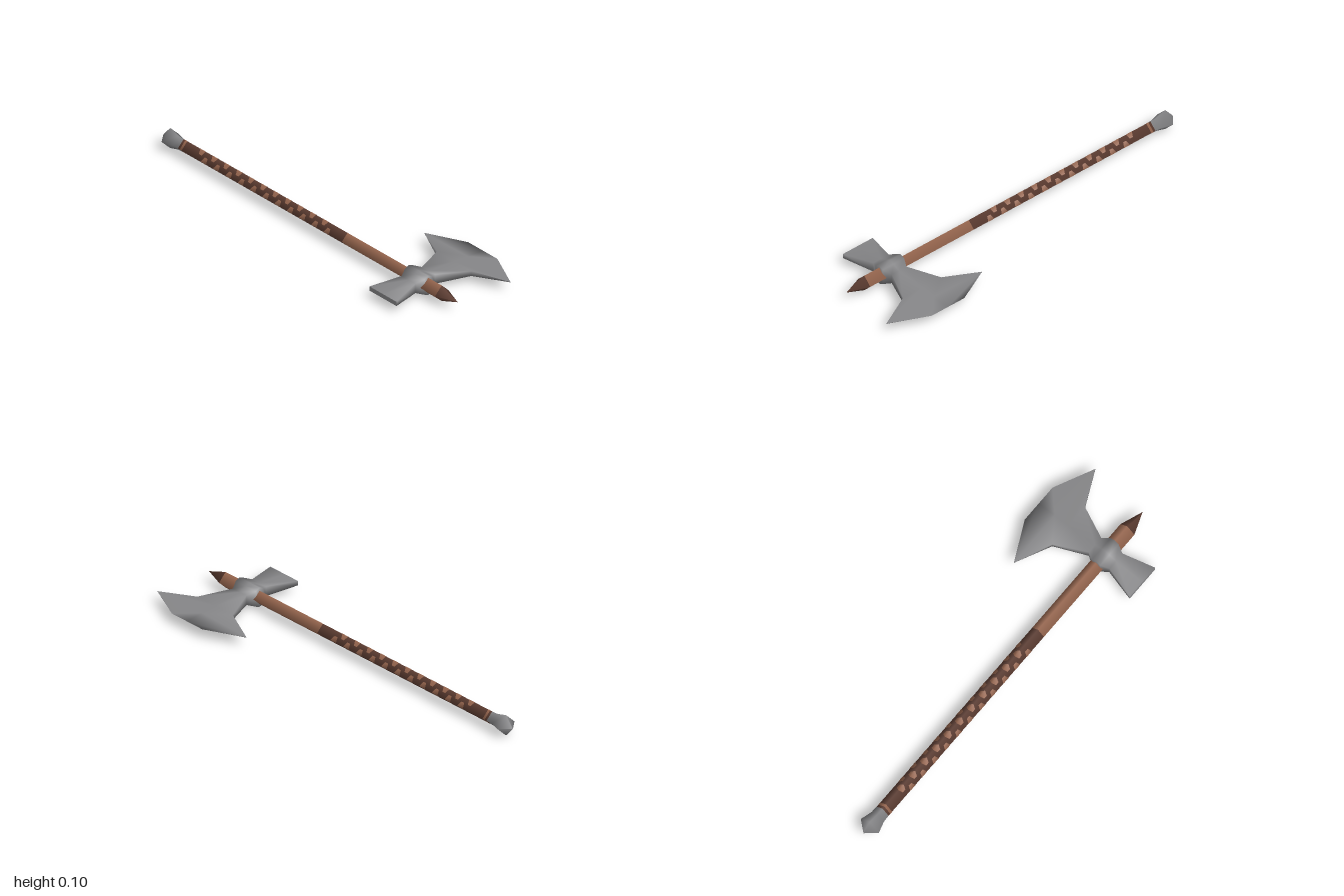
import * as THREE from 'three';
import { mergeVertices } from 'three/addons/utils/BufferGeometryUtils.js';

const AX = -0.087, AY = 0.053, HEAD_Z = 0.705;

const mat = (name, color, side = THREE.FrontSide) => {
  const m = new THREE.MeshStandardMaterial({ color, side });
  m.name = name;
  return m;
};

export function createModel() {
  const steel = mat('steel', 0x868688);
  const wood = mat('wood', 0x98674f);
  const leather = mat('dark leather', 0x5c3c31);
  const patchWood = mat('wood between wraps', 0x94644d, THREE.DoubleSide);

  const group = new THREE.Group();
  group.name = 'axe';
  const add = (name, geometry, material) => {
    const mesh = new THREE.Mesh(geometry, material);
    mesh.name = name;
    group.add(mesh);
    return mesh;
  };

  // Four-sided, smooth-shaded lathe along z; the profile is [radius, z], z increasing
  const shaftPart = (name, profile, material) => {
    const g = new THREE.LatheGeometry(profile.map(([r, z]) => new THREE.Vector2(r, z)), 4);
    g.rotateX(Math.PI / 2);
    add(name, g, material).position.set(AX, AY, 0);
  };

  // Shaft, grip and ends
  const R = 0.034;
  shaftPart('pommel', [[0, -1], [0.052, -0.955], [0.036, -0.9], [R, -0.865]], steel);
  shaftPart('gripWrap', [[R, -0.866], [R, 0.23]], leather);
  shaftPart('gripBand', [[R + 0.001, -0.853], [R + 0.001, -0.84]], wood);
  shaftPart('shaft', [[R, 0.23], [R, 0.66], [0.04, 0.76], [0.04, 0.86]], wood);
  shaftPart('shaftTip', [[0.04, 0.86], [0, 0.967]], leather);

  // Gaps in the wrapping, folded over the top and side ridges of the grip
  const pos = [], idx = [];
  const rr = R + 0.001;
  const addPatch = (angle, z) => {
    const base = pos.length / 3;
    const ridge = [Math.sin(angle) * rr, Math.cos(angle) * rr];
    for (const s of [-1, 0, 1]) {
      const next = angle + s * Math.PI / 2;
      const t = s ? 0.5 : 0, h = s ? 0.009 : 0.018;
      const x = ridge[0] * (1 - t) + Math.sin(next) * rr * t;
      const y = ridge[1] * (1 - t) + Math.cos(next) * rr * t;
      pos.push(x, y, z - h, x, y, z + h);
    }
    for (const k of [0, 2]) {
      const a = base + k;
      idx.push(a, a + 1, a + 3, a, a + 3, a + 2);
    }
  };
  for (let i = 0; i < 11; i++) {
    const z = -0.735 + i * 0.082;
    addPatch(0, z);
    for (const s of [-1, 1]) addPatch(s * Math.PI / 2, z + 0.041);
  }
  const patches = new THREE.BufferGeometry();
  patches.setAttribute('position', new THREE.Float32BufferAttribute(pos, 3));
  patches.setIndex(idx);
  patches.computeVertexNormals();
  add('wrapGaps', patches, patchWood).position.set(AX, AY, 0);

  // Axe head sections: [x, half length in z, half thickness mid, half thickness at ends]
  const sections = [
    [-0.3, 0.09, 0.011, 0.011],
    [-0.147, 0.046, 0.024, 0.024],
    [-0.11, 0.065, 0.039, 0.039],
    [AX, 0.065, 0.049, 0.049],
    [-0.064, 0.065, 0.039, 0.039],
    [-0.027, 0.044, 0.024, 0.024],
    [0.125, 0.115, 0.0126, 0.0126],
    [0.205, 0.288, 0.007, 0.001],
    [0.297, 0.098, 0, 0],
  ];
  const hp = [], hi = [];
  for (const [x, hz, ym, ye] of sections) {
    hp.push(x, ym, 0, x, ye, hz, x, -ye, hz, x, -ym, 0, x, -ye, -hz, x, ye, -hz);
  }
  for (let i = 0; i < sections.length - 1; i++) {
    for (let j = 0; j < 6; j++) {
      const a = i * 6 + j, b = i * 6 + (j + 1) % 6;
      hi.push(a, b, b + 6, a, b + 6, a + 6);
    }
  }
  let head = new THREE.BufferGeometry();
  head.setAttribute('position', new THREE.Float32BufferAttribute(hp, 3));
  head.setIndex(hi);
  head = mergeVertices(head, 1e-5);
  head.computeVertexNormals();
  add('axeHead', head, steel).position.set(0, AY, HEAD_Z);

  // Flat hammer face closing the back of the head
  const face = new THREE.PlaneGeometry(0.18, 0.022);
  face.rotateY(-Math.PI / 2);
  add('hammerFace', face, steel).position.set(-0.3, AY, HEAD_Z);

  return group;
}
